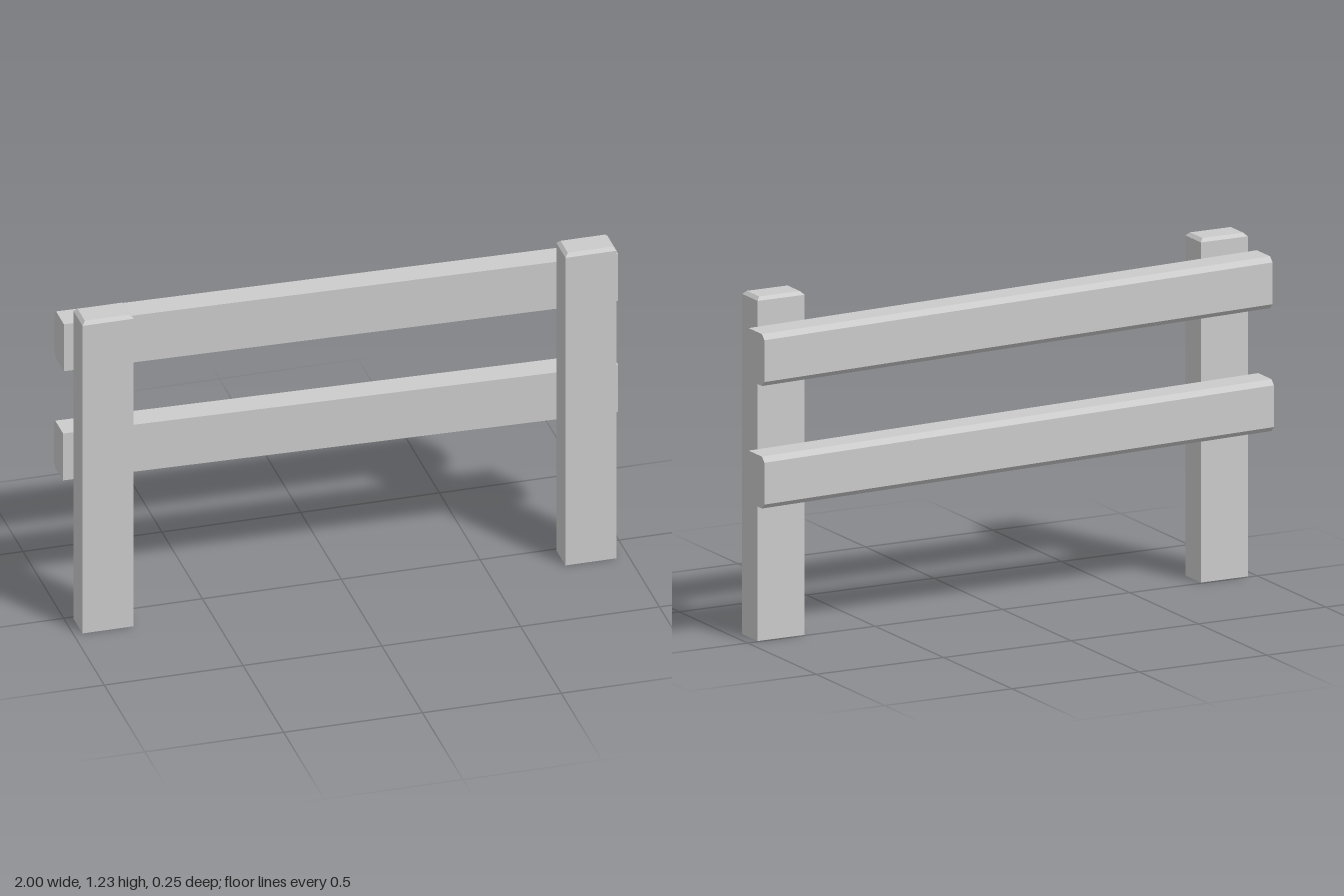
import * as THREE from 'three';

const material = new THREE.MeshStandardMaterial({ color: 0xcccccc, flatShading: true, side: THREE.DoubleSide });

// Skins a row of matching convex rings; the ends are closed on request.
function loft(rings, capStart, capEnd) {
  const pos = [];
  const tri = (a, b, c) => pos.push(...a, ...b, ...c);
  const n = rings[0].length;
  for (let r = 0; r < rings.length - 1; r++) {
    const a = rings[r], b = rings[r + 1];
    for (let i = 0; i < n; i++) {
      const j = (i + 1) % n;
      tri(a[i], a[j], b[j]);
      tri(a[i], b[j], b[i]);
    }
  }
  const first = rings[0], last = rings[rings.length - 1];
  for (let i = 1; i < n - 1; i++) {
    if (capStart) tri(first[0], first[i + 1], first[i]);
    if (capEnd) tri(last[0], last[i], last[i + 1]);
  }
  const geometry = new THREE.BufferGeometry();
  geometry.setAttribute('position', new THREE.Float32BufferAttribute(pos, 3));
  geometry.computeVertexNormals();
  return geometry;
}

// Upright post with a bevelled top and an open foot.
function makePost(x) {
  const hw = 0.092, z0 = 0.009, z1 = 0.123;
  const ring = (y, s) => [
    [x - hw + s, y, z0 + s], [x - hw + s, y, z1 - s],
    [x + hw - s, y, z1 - s], [x + hw - s, y, z0 + s],
  ];
  return loft([ring(0, 0), ring(1.213, 0), ring(1.225, 0.012)], false, true);
}

// Sloping rail, bevelled along its two back edges; ends are [bottom y, front z].
function makeRail(rightEnd, leftEnd) {
  const height = 0.185, depth = 0.115, c = 0.018;
  const ring = (x, [y0, zf]) => {
    const y1 = y0 + height, zb = zf - depth;
    return [
      [x, y0, zf], [x, y0, zb + c], [x, y0 + c, zb],
      [x, y1 - c, zb], [x, y1, zb + c], [x, y1, zf],
    ];
  };
  return loft([ring(-1, rightEnd), ring(1, leftEnd)], true, true);
}

export function createModel() {
  const group = new THREE.Group();
  group.name = 'fence';
  const add = (name, geometry) => {
    const mesh = new THREE.Mesh(geometry, material);
    mesh.name = name;
    group.add(mesh);
  };
  add('rightPost', makePost(-0.876));
  add('leftPost', makePost(0.864));
  add('upperRail', makeRail([0.976, 0.003], [0.94, -0.007]));
  add('lowerRail', makeRail([0.54, -0.007], [0.503, -0.007]));
  return group;
}
